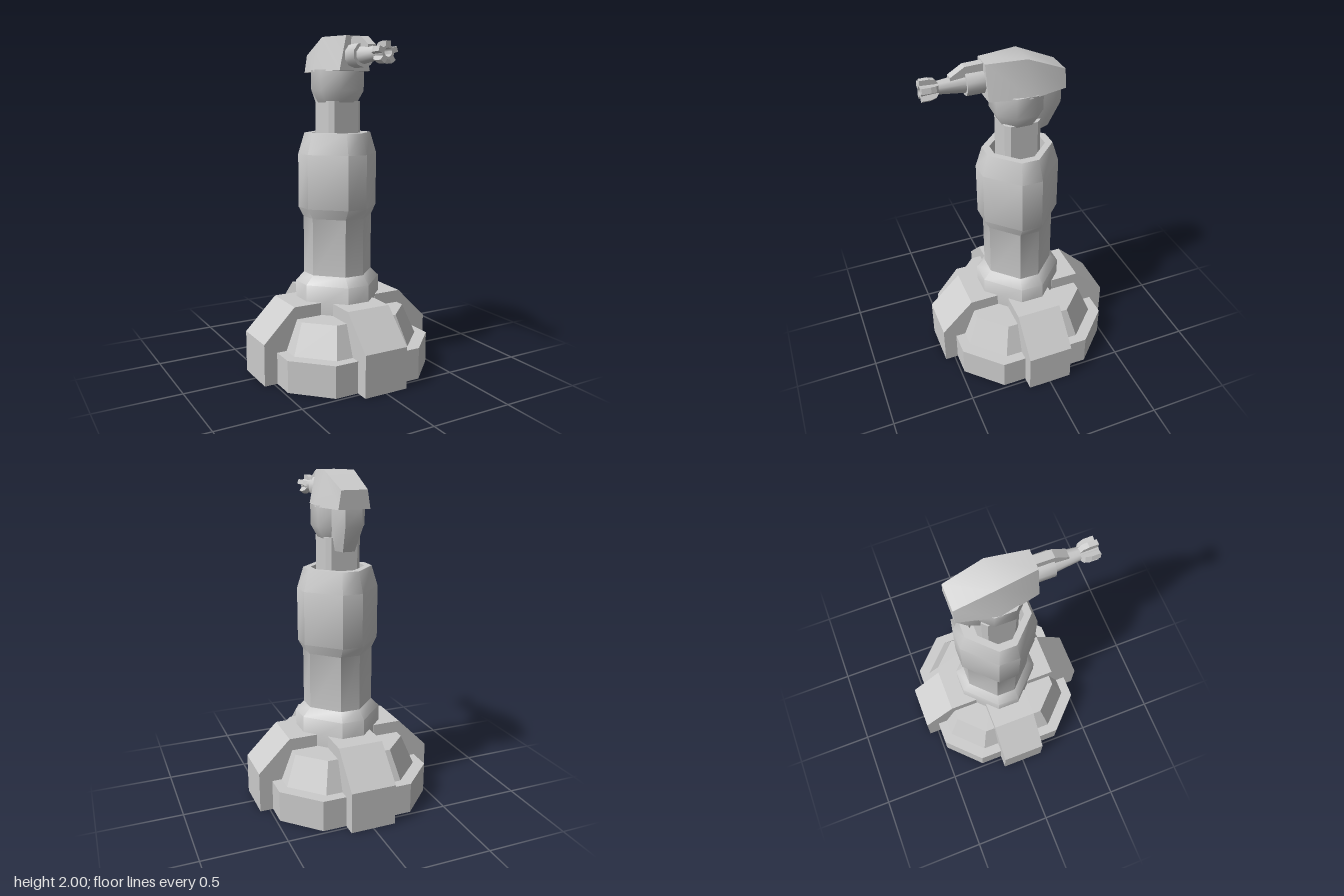
import * as THREE from 'three';
import { toCreasedNormals } from 'three/addons/utils/BufferGeometryUtils.js';

const material = new THREE.MeshStandardMaterial({ color: 0xcccccc });

// Closed solid through equal-length loops; each loop runs counter-clockwise seen from the loft's far end.
function loft(loops, crease) {
  const n = loops[0].length;
  const index = [];
  for (let i = 0; i < loops.length - 1; i++) {
    for (let j = 0; j < n; j++) {
      const a = i * n + j, b = i * n + (j + 1) % n;
      index.push(a, b, b + n, a, b + n, a + n);
    }
  }
  const last = (loops.length - 1) * n;
  for (let j = 1; j < n - 1; j++) {
    index.push(0, j + 1, j, last, last + j, last + j + 1);
  }
  const geometry = new THREE.BufferGeometry();
  geometry.setAttribute('position', new THREE.Float32BufferAttribute(loops.flat(2), 3));
  geometry.setIndex(index);
  return toCreasedNormals(geometry, crease);
}

// Chamfered square: a = half width, b = half length of the straight sides.
const octagon = (a, b, y) => [
  [a, y, b], [a, y, -b], [b, y, -a], [-b, y, -a],
  [-a, y, -b], [-a, y, b], [-b, y, a], [b, y, a],
];

const octagonTower = (rings, crease = 0.77) => loft(rings.map((r) => octagon(...r)), crease);

// Side profile given as [z, y], extruded evenly across x.
function sideProfile(points, width) {
  const shape = new THREE.Shape(points.map(([z, y]) => new THREE.Vector2(z, y)));
  const geometry = new THREE.ExtrudeGeometry(shape, { depth: width, bevelEnabled: false });
  geometry.translate(0, 0, -width / 2);
  geometry.rotateY(-Math.PI / 2);
  return geometry;
}

export function createModel() {
  const model = new THREE.Group();
  const add = (name, geometry, parent = model) => {
    const mesh = new THREE.Mesh(geometry, material);
    mesh.name = name;
    parent.add(mesh);
    return mesh;
  };

  // Stepped octagonal foundation
  add('foundation', octagonTower([[0.48, 0.28, 0], [0.48, 0.28, 0.19]]));
  add('foundationUpper', octagonTower([[0.42, 0.24, 0.19], [0.35, 0.2, 0.37]], 0.3));

  // Four sloped buttresses
  const buttress = sideProfile(
    [[0.19, 0], [0.56, 0], [0.56, 0.25], [0.365, 0.445], [0.19, 0.445]], 0.276);
  for (let k = 0; k < 4; k++) {
    add('buttress', buttress).rotation.y = k * Math.PI / 2;
  }

  // Collar, hollow-topped column and neck
  add('collar', octagonTower([[0.253, 0.07, 0.37], [0.253, 0.07, 0.545], [0.2, 0.06, 0.6]]));
  add('column', octagonTower([
    [0.203, 0.06, 0.58], [0.203, 0.06, 0.94], [0.235, 0.062, 1.0], [0.235, 0.062, 1.32],
    [0.198, 0.052, 1.445], [0.155, 0.042, 1.445], [0.155, 0.042, 1.25],
  ]));
  add('neck', octagonTower([[0.107, 0.08, 1.25], [0.107, 0.08, 1.63]]));

  // Turret: swivel cup, rear counterweight and tapered hood
  const turret = new THREE.Group();
  turret.name = 'turret';
  model.add(turret);
  add('swivelCup', octagonTower(
    [[0.108, 0.045, 1.62], [0.145, 0.06, 1.69], [0.147, 0.06, 1.81]], 1.0), turret);

  // Horizontal slices: half width, rear z, front z, y
  const weightSlices = [
    [0.06, -0.17, -0.07, 1.555], [0.085, -0.24, -0.07, 1.7], [0.085, -0.24, -0.07, 1.81],
  ];
  add('counterweight', loft(weightSlices.map(([w, back, front, y]) => [
    [w, y, front], [w, y, back + 0.06], [w * 0.6, y, back],
    [-w * 0.6, y, back], [-w, y, back + 0.06], [-w, y, front],
  ]), 0.9), turret);

  // Upright slices: z, bottom half width, top half width, top y
  const hoodSlices = [
    [-0.248, 0.095, 0.078, 1.905], [-0.025, 0.15, 0.09, 2.0], [0.2, 0.1, 0.058, 1.995],
  ];
  add('hood', loft(hoodSlices.map(([z, bottom, top, y]) => [
    [bottom, 1.8, z], [top, y, z], [-top, y, z], [-bottom, 1.8, z],
  ]), 0.6), turret);

  // Gun along +z
  const gun = new THREE.Group();
  gun.name = 'gun';
  gun.position.y = 1.885;
  turret.add(gun);
  const turned = (points, sides) => {
    const lathe = new THREE.LatheGeometry(points.map(([r, z]) => new THREE.Vector2(r, z)), sides);
    return toCreasedNormals(lathe.rotateX(Math.PI / 2), 0.8);
  };
  add('gunMount', turned([[0, 0.15], [0.07, 0.15], [0.07, 0.3], [0, 0.3]], 10), gun);
  add('barrel', turned(
    [[0.054, 0.28], [0.034, 0.46], [0.038, 0.54], [0.024, 0.54], [0.024, 0.46], [0, 0.46]], 10), gun);
  add('sight', sideProfile(
    [[0.18, 0.02], [0.38, 0.02], [0.38, 0.052], [0.3, 0.1], [0.18, 0.105]], 0.05), gun);

  // Five flared muzzle fins
  const fin = sideProfile(
    [[0.44, 0.028], [0.54, 0.028], [0.54, 0.06], [0.49, 0.06], [0.46, 0.052]], 0.03);
  for (let k = 0; k < 5; k++) {
    add('muzzleFin', fin, gun).rotation.z = k * Math.PI * 2 / 5;
  }

  return model;
}
